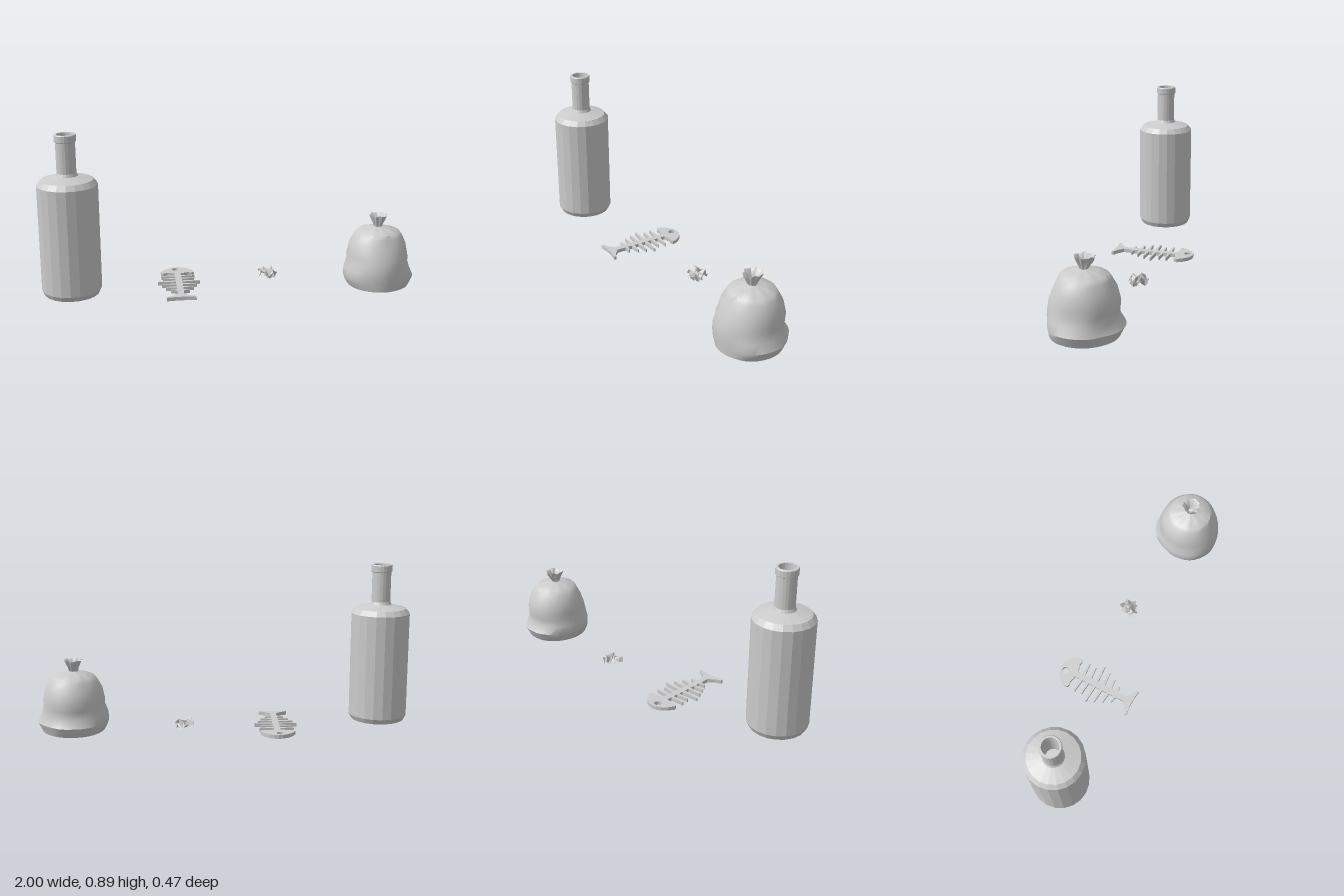
import * as THREE from 'three';
import { toCreasedNormals } from 'three/addons/utils/BufferGeometryUtils.js';

const grey = (opts = {}) => new THREE.MeshStandardMaterial({ color: 0xcccccc, ...opts });

function named(name, geometry, material) {
  const mesh = new THREE.Mesh(geometry, material);
  mesh.name = name;
  return mesh;
}

// Faceted bottle with a hollow neck
function makeBottle() {
  const profile = [
    [0, 0.045], [0.143, 0.045], [0.156, 0.072], [0.156, 0.63], [0.135, 0.657],
    [0.057, 0.677], [0.05, 0.692], [0.05, 0.85], [0.056, 0.854], [0.056, 0.886],
    [0.053, 0.89], [0.043, 0.89], [0.04, 0.85], [0.04, 0.66], [0, 0.66],
  ].map(([r, y]) => new THREE.Vector2(r, y));
  const bottle = named('bottle', new THREE.LatheGeometry(profile, 20), grey({ flatShading: true }));
  bottle.position.set(-0.844, 0, 0.08);
  return bottle;
}

// Flat fish skeleton: one mirrored outline, extruded
function makeFishBone() {
  const half = [[0, -0.236], [0.025, -0.232], [0.05, -0.219], [0.075, -0.194], [0.092, -0.164],
    [0.09, -0.151], [0.078, -0.143], [0.055, -0.148], [0.035, -0.141], [0.017, -0.138]];
  const ribs = [[-0.1, 0.092], [-0.058, 0.085], [-0.016, 0.113], [0.027, 0.094], [0.07, 0.075], [0.112, 0.05]];
  for (const [z, reach] of ribs) {
    half.push([0.017, z - 0.009], [reach, z - 0.004], [reach, z + 0.002], [0.017, z + 0.009]);
  }
  half.push([0.015, 0.168], [0.045, 0.195], [0.078, 0.211], [0.077, 0.222], [0.03, 0.216], [0, 0.215]);
  const mirrored = half.slice(1, -1).reverse().map(([x, z]) => [-x, z]);
  const shape = new THREE.Shape([...half, ...mirrored].map(([x, z]) => new THREE.Vector2(x, z)));
  const eye = new THREE.Path();
  eye.absarc(-0.01, -0.202, 0.019, 0, Math.PI * 2, true);
  shape.holes.push(eye);
  const geo = new THREE.ExtrudeGeometry(shape, { depth: 0.02, bevelEnabled: false, curveSegments: 8 });
  geo.rotateX(Math.PI / 2);
  const fish = named('fishBone', geo, grey({ flatShading: true }));
  fish.position.set(-0.278, 0.045, 0);
  return fish;
}

// Small crumpled scrap: a sheet with its grid points scattered
function makeScrap() {
  let seed = 11;
  const rand = () => (seed = (seed * 16807) % 2147483647) / 1073741823.5 - 1;
  const geo = new THREE.PlaneGeometry(2, 2, 6, 6);
  const p = geo.attributes.position;
  for (let i = 0; i < p.count; i++) {
    const u = p.getX(i), v = p.getY(i);
    const edge = Math.max(Math.abs(u), Math.abs(v));
    const fold = 0.012 * Math.sin(u * 5 + v * 4);
    p.setXYZ(i,
      u * (0.048 - 0.012 * Math.abs(v)) + rand() * 0.012,
      THREE.MathUtils.clamp(fold + rand() * 0.02 * (1.3 - 0.4 * edge), -0.03, 0.03),
      v * (0.054 - 0.016 * Math.abs(u)) + rand() * 0.012);
  }
  const scrap = named('crumpledScrap', geo, grey({ flatShading: true, side: THREE.DoubleSide }));
  scrap.position.set(0.21, 0.06, -0.063);
  return scrap;
}

// Tied sack lofted from uneven rings, open below and through the knot
function makeSack() {
  // y, reach to -x, +x, -z, +z, low bulge amount, pleat amount
  const rings = [
    [0.0, 0.085, 0.085, 0.09, 0.09, 0, 0],
    [0.01, 0.158, 0.172, 0.165, 0.175, 0.4, 0],
    [0.035, 0.172, 0.184, 0.177, 0.178, 0.8, 0],
    [0.063, 0.182, 0.197, 0.19, 0.18, 1, 0],
    [0.105, 0.178, 0.178, 0.16, 0.183, 0.7, 0],
    [0.145, 0.162, 0.166, 0.164, 0.178, 0.3, 0],
    [0.18, 0.162, 0.166, 0.167, 0.17, 0.1, 0],
    [0.24, 0.15, 0.154, 0.152, 0.147, 0, 0],
    [0.285, 0.125, 0.133, 0.126, 0.126, 0, 0],
    [0.306, 0.105, 0.115, 0.112, 0.115, 0, 0.02],
    [0.32, 0.062, 0.065, 0.062, 0.065, 0, 0.08],
    [0.332, 0.022, 0.024, 0.018, 0.024, 0, 0.1],
    [0.35, 0.025, 0.027, 0.027, 0.03, 0, 0.12],
    [0.375, 0.036, 0.039, 0.044, 0.042, 0, 0.1],
    [0.393, 0.043, 0.046, 0.05, 0.046, 0, 0.08],
    [0.39, 0.037, 0.04, 0.044, 0.04, 0, 0.08],
    [0.36, 0.02, 0.022, 0.022, 0.022, 0, 0.08],
    [0.335, 0.013, 0.013, 0.013, 0.013, 0, 0],
  ];
  const n = 36, pos = [], index = [];
  rings.forEach(([y, left, right, back, front, bulge, pleat], j) => {
    for (let i = 0; i < n; i++) {
      const a = (i / n) * Math.PI * 2, c = Math.cos(a), s = Math.sin(a);
      const lump = 0.035 * Math.sin(3 * a + 0.5) * Math.abs(Math.sin(2 * a)) - 0.025 * Math.cos(6 * a - 1) * Math.abs(s * c);
      const k = 1 + bulge * lump + pleat * Math.cos(9 * a);
      const lift = j > 12 && j < 16 ? 0.003 * Math.sin(5 * a) : 0;
      pos.push(k * c * (c > 0 ? right : left), y + lift, k * s * (s > 0 ? front : back));
      if (j === 0) continue;
      const q = j * n + i, r = j * n + (i + 1) % n;
      index.push(q - n, q, r - n, q, r, r - n);
    }
  });
  const geo = new THREE.BufferGeometry();
  geo.setAttribute('position', new THREE.Float32BufferAttribute(pos, 3));
  geo.setIndex(index);
  const sack = named('tiedSack', toCreasedNormals(geo, 0.8), grey());
  sack.position.set(0.803, 0, 0.019);
  return sack;
}

export function createModel() {
  const group = new THREE.Group();
  group.name = 'litterSet';
  group.add(makeBottle(), makeFishBone(), makeScrap(), makeSack());
  return group;
}
